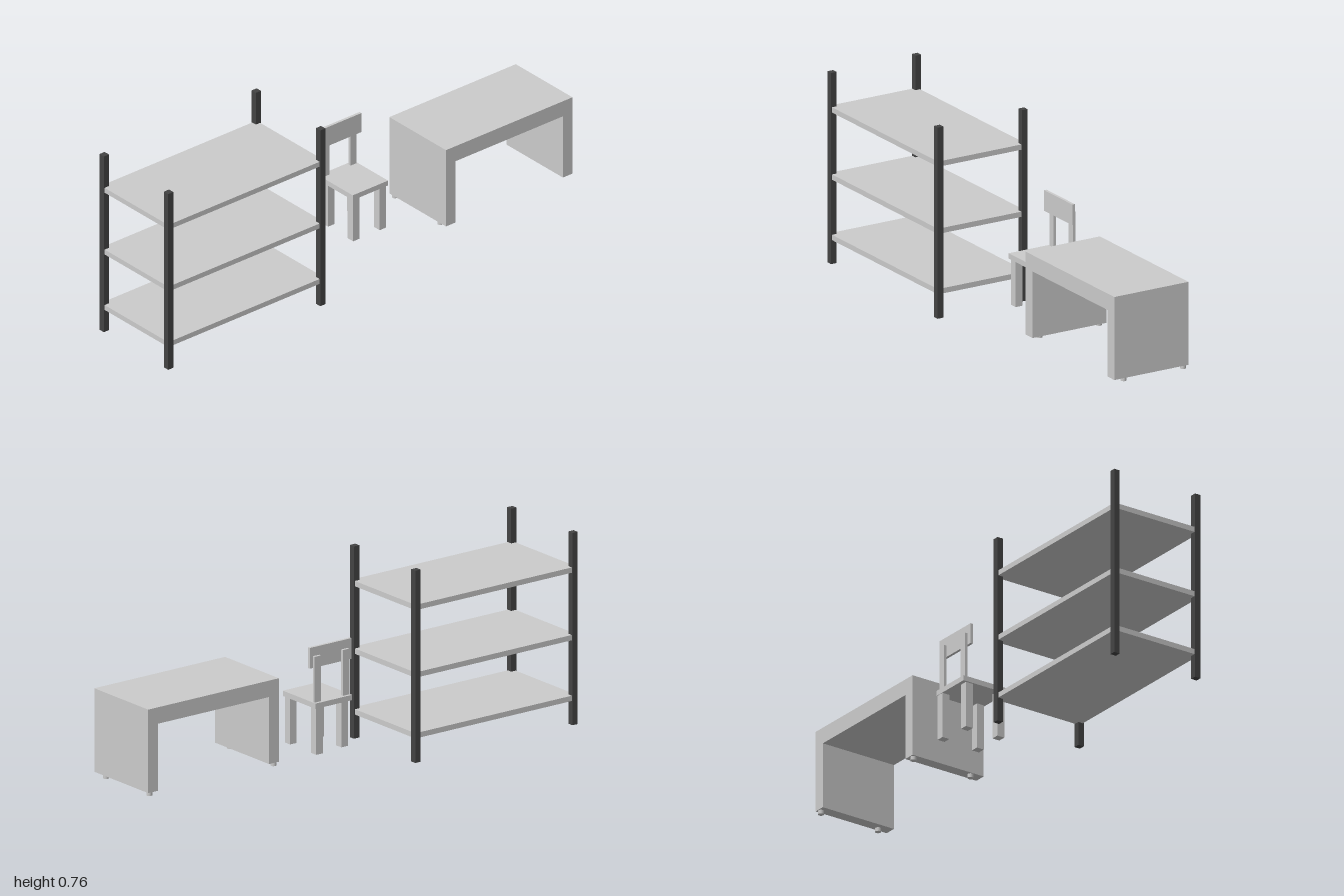
import * as THREE from 'three';

const grey = new THREE.MeshStandardMaterial({ color: 0xcccccc });
const dark = new THREE.MeshStandardMaterial({ color: 0x444444 });

// Box given by its [min, max] extent on each axis
function box(parent, name, [x0, x1], [y0, y1], [z0, z1], material = grey) {
  const mesh = new THREE.Mesh(new THREE.BoxGeometry(x1 - x0, y1 - y0, z1 - z0), material);
  mesh.position.set((x0 + x1) / 2, (y0 + y1) / 2, (z0 + z1) / 2);
  mesh.name = name;
  parent.add(mesh);
}

// Open rack: four dark posts carrying three boards
function createShelf() {
  const shelf = new THREE.Group();
  shelf.name = 'shelf';
  for (const x of [-0.2, 0.175])
    for (const z of [0.226, 0.975])
      box(shelf, 'shelfPost', [x, x + 0.025], [0, 0.76], [z, z + 0.025], dark);
  for (const y of [0.095, 0.335, 0.602])
    box(shelf, 'shelfBoard', [-0.196, 0.196], [y, y + 0.021], [0.23, 0.996]);
  return shelf;
}

// Chair with its backrest on the -x side
function createChair() {
  const chair = new THREE.Group();
  chair.name = 'chair';
  box(chair, 'seat', [-0.15, 0.05], [0.288, 0.309], [-0.21, -0.036]);
  for (const [x, z] of [[-0.134, -0.075], [-0.148, -0.206], [0.012, -0.075], [0.012, -0.206]])
    box(chair, 'chairLeg', [x, x + 0.032], [0.105, 0.288], [z, z + 0.032]);
  for (const z of [-0.206, -0.071])
    box(chair, 'backUpright', [-0.139, -0.128], [0.309, 0.49], [z, z + 0.03]);
  box(chair, 'backrest', [-0.128, -0.117], [0.443, 0.525], [-0.22, -0.022]);
  return chair;
}

// Desk: one arch-shaped slab (top and two side panels) on small round feet
function createDesk() {
  const desk = new THREE.Group();
  desk.name = 'desk';
  const near = -0.377, far = -1, panel = 0.047, bottom = 0.11, under = 0.375, top = 0.44;
  const arch = new THREE.Shape([
    [-near, bottom], [-near + panel, bottom], [-near + panel, under], [-far - panel, under],
    [-far - panel, bottom], [-far, bottom], [-far, top], [-near, top],
  ].map(([a, b]) => new THREE.Vector2(a, b)));
  const body = new THREE.Mesh(
    new THREE.ExtrudeGeometry(arch, { depth: 0.33, bevelEnabled: false }), grey);
  body.name = 'deskBody';
  body.rotation.y = Math.PI / 2;
  body.position.x = -0.14;
  desk.add(body);

  const footGeometry = new THREE.CylinderGeometry(0.0113, 0.0113, 0.015, 20);
  for (const x of [-0.126, 0.139])
    for (const z of [-0.392, -0.984]) {
      const foot = new THREE.Mesh(footGeometry, grey);
      foot.name = 'deskFoot';
      foot.position.set(x, 0.1025, z);
      desk.add(foot);
    }
  return desk;
}

export function createModel() {
  const model = new THREE.Group();
  model.name = 'furnitureSet';
  model.add(createShelf(), createChair(), createDesk());
  return model;
}
